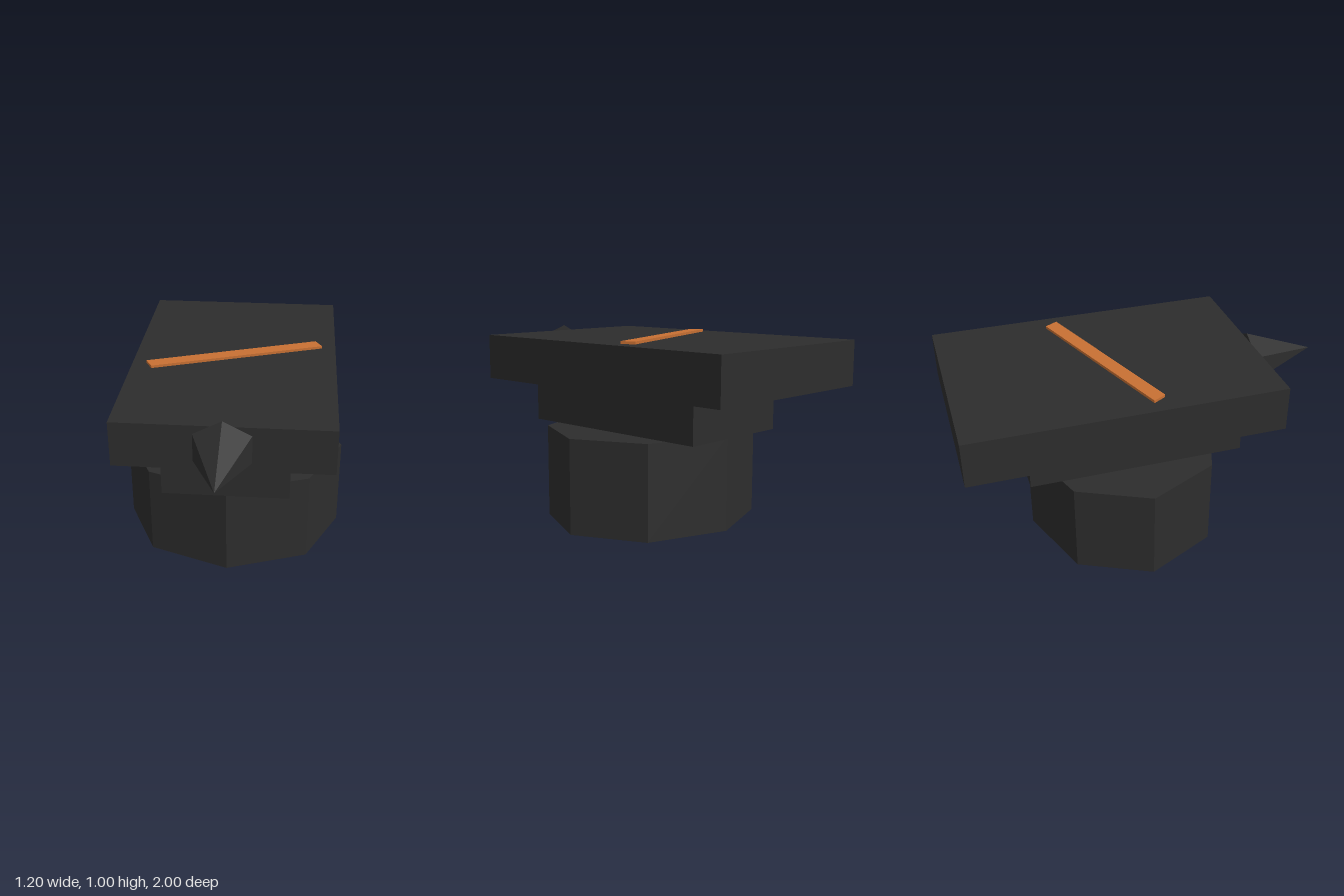
import * as THREE from 'three';

export function createModel() {
  const model = new THREE.Group();
  const charcoal = new THREE.MeshStandardMaterial({ color: 0x2d2d2d, flatShading: true });
  charcoal.name = 'charcoal';
  const orange = new THREE.MeshStandardMaterial({ color: 0xc87033, flatShading: true });
  orange.name = 'orange';

  const add = (name, geometry, material, x, y, z) => {
    const mesh = new THREE.Mesh(geometry, material);
    mesh.name = name;
    mesh.position.set(x, y, z);
    model.add(mesh);
    return mesh;
  };

  // Eight-sided base, slightly squashed front to back
  const base = new THREE.CylinderGeometry(0.6, 0.6, 0.495, 8).scale(1, 1, 0.875);
  add('base', base, charcoal, 0, 0.2475, -0.095);

  // Stepped neck and overhanging slab
  add('neck', new THREE.BoxGeometry(0.65, 0.24, 1.14), charcoal, 0, 0.615, -0.095);
  add('slab', new THREE.BoxGeometry(1.086, 0.237, 1.617), charcoal, 0, 0.8525, -0.1915);

  // Six-sided spike pointing forward
  const spike = new THREE.ConeGeometry(1, 0.383, 6).rotateX(Math.PI / 2).scale(0.164, 0.147, 1);
  add('spike', spike, charcoal, 0, 0.853, 0.8085);

  // Raised diagonal stripe on the slab (shape y becomes -z)
  const outline = new THREE.Shape([
    [-0.469, 0.06], [-0.432, -0.006], [0.469, 0.325], [0.432, 0.391],
  ].map(([x, y]) => new THREE.Vector2(x, y)));
  const stripe = new THREE.ExtrudeGeometry(outline, { depth: 0.015, bevelEnabled: false });
  add('stripe', stripe.rotateX(-Math.PI / 2), orange, 0, 0.97, 0);

  return model;
}
